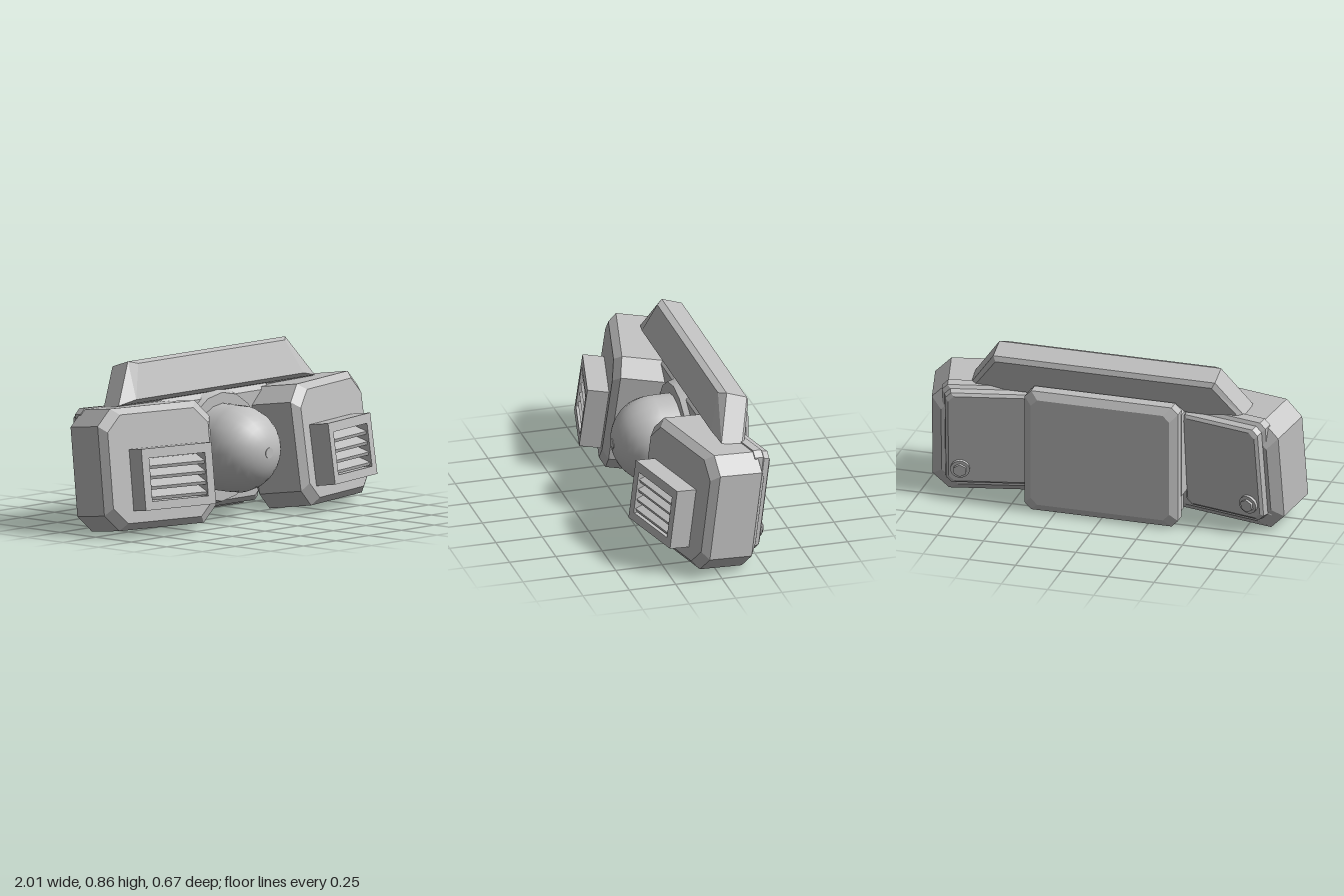
import * as THREE from 'three';

const grey = new THREE.MeshStandardMaterial({ color: 0xc0c0c0 });
grey.name = 'plain grey';

function add(parent, name, geometry, x = 0, y = 0, z = 0) {
  const mesh = new THREE.Mesh(geometry, grey);
  mesh.name = name;
  mesh.position.set(x, y, z);
  parent.add(mesh);
  return mesh;
}

// Flat-faced solid through counterclockwise outlines, listed from back to front
function loft(layers) {
  const n = layers[0].points.length, pos = [], index = [];
  layers.forEach(({ z, points }) => points.forEach(([x, y]) => pos.push(x, y, z)));
  for (let k = 0; k < layers.length - 1; k++) {
    for (let i = 0; i < n; i++) {
      const a = k * n + i, b = k * n + (i + 1) % n;
      index.push(a, b, b + n, a, b + n, a + n);
    }
  }
  const last = (layers.length - 1) * n;
  for (let i = 1; i < n - 1; i++) {
    index.push(0, i + 1, i, last, last + i, last + i + 1);
  }
  const g = new THREE.BufferGeometry();
  g.setAttribute('position', new THREE.Float32BufferAttribute(pos, 3));
  g.setIndex(index);
  const flat = g.toNonIndexed();
  flat.computeVertexNormals();
  return flat;
}

// Rectangle with cut corners
function octagon(w, h, c) {
  const x = w / 2, y = h / 2;
  return [[-x + c, -y], [x - c, -y], [x, -y + c], [x, y - c],
    [x - c, y], [-x + c, y], [-x, y - c], [-x, -y + c]];
}

// Block with cut corners; each layer is [z, inset]
function block(w, h, c, layers) {
  return loft(layers.map(([z, d]) => ({ z, points: octagon(w - 2 * d, h - 2 * d, c) })));
}

// Rectangular frame with a recessed opening
function ventFrame() {
  const shape = new THREE.Shape();
  shape.moveTo(-0.22, -0.16).lineTo(0.22, -0.16).lineTo(0.22, 0.16).lineTo(-0.22, 0.16).closePath();
  const hole = new THREE.Path();
  hole.moveTo(-0.175, -0.115).lineTo(-0.175, 0.11).lineTo(0.175, 0.11).lineTo(0.175, -0.115).closePath();
  shape.holes.push(hole);
  return new THREE.ExtrudeGeometry(shape, { depth: 0.18, bevelEnabled: false });
}

function sidePod(side) {
  const pod = new THREE.Group();
  pod.name = side > 0 ? 'leftPod' : 'rightPod';
  pod.position.set(side * 0.63, 0.34, -0.01);
  pod.rotation.set(-0.135, side * 0.226, 0, 'YXZ');

  add(pod, 'podHousing', block(0.7, 0.635, 0.085,
    [[-0.165, 0.05], [-0.12, 0], [0.13, 0], [0.167, 0.035]]));

  // Louvred vent on the front
  const vent = new THREE.Group();
  vent.name = 'vent';
  vent.position.set(side * -0.03, -0.06, 0.1);
  pod.add(vent);
  add(vent, 'ventFrame', ventFrame());
  for (let i = 0; i < 4; i++) {
    const slat = add(vent, 'ventSlat', new THREE.BoxGeometry(0.35, 0.018, 0.085),
      0, -0.083 + i * 0.054, 0.13);
    slat.rotation.x = 0.45;
  }

  // Back cover with its bolt
  add(pod, 'backCover', block(0.5, 0.58, 0.03,
    [[-0.213, 0.035], [-0.2, 0.02], [-0.165, 0.015], [-0.15, 0], [-0.1, 0]]),
  side * 0.045, 0.035, 0);
  const washer = add(pod, 'boltWasher', new THREE.CylinderGeometry(0.05, 0.05, 0.02, 24),
    side * 0.2, -0.14, -0.22);
  const head = add(pod, 'boltHead', new THREE.CylinderGeometry(0.036, 0.036, 0.03, 6),
    side * 0.2, -0.14, -0.23);
  washer.rotation.x = head.rotation.x = Math.PI / 2;
  return pod;
}

export function createModel() {
  const model = new THREE.Group();
  model.name = 'twinVentUnit';
  model.add(sidePod(1), sidePod(-1));

  // Centre body and back box
  add(model, 'centreBody', block(0.84, 0.52, 0.03,
    [[-0.25, 0], [-0.09, 0], [-0.06, 0.03]]), 0, 0.4, 0);
  add(model, 'lowerStep', block(0.8, 0.14, 0.02,
    [[-0.25, 0], [-0.15, 0], [-0.12, 0.03]]), 0, 0.11, 0);
  add(model, 'backBox', block(0.83, 0.67, 0.035,
    [[-0.325, 0.04], [-0.3, 0], [-0.235, 0], [-0.2, 0.03], [-0.17, 0.03]]), 0, 0.35, 0);

  // Round collar, barrel and dome
  const collar = add(model, 'collar', new THREE.CylinderGeometry(0.285, 0.3, 0.05, 16), 0, 0.37, -0.055);
  const barrel = add(model, 'lensBarrel', new THREE.CylinderGeometry(0.228, 0.228, 0.12, 20, 1, true), 0, 0.37, 0.015);
  const dome = add(model, 'lensDome',
    new THREE.SphereGeometry(0.228, 20, 10, 0, Math.PI * 2, 0, Math.PI / 2), 0, 0.37, 0.073);
  collar.rotation.x = barrel.rotation.x = dome.rotation.x = Math.PI / 2;
  const tip = add(model, 'lensTip', new THREE.CylinderGeometry(0.028, 0.028, 0.012, 16), 0, 0.37, 0.296);
  tip.rotation.x = Math.PI / 2;

  // Leaning trapezoid visor on top
  const outline = (bottom, top, y0, y1) => [[-bottom, y0], [bottom, y0], [top, y1], [-top, y1]];
  const visor = add(model, 'topVisor', loft([
    { z: -0.165, points: outline(0.72, 0.585, 0, 0.19) },
    { z: -0.145, points: outline(0.75, 0.6, -0.01, 0.212) },
    { z: -0.03, points: outline(0.75, 0.6, -0.01, 0.212) },
    { z: 0, points: outline(0.64, 0.56, 0.005, 0.19) },
  ]), 0, 0.68, -0.045);
  visor.rotation.x = -0.33;

  return model;
}
